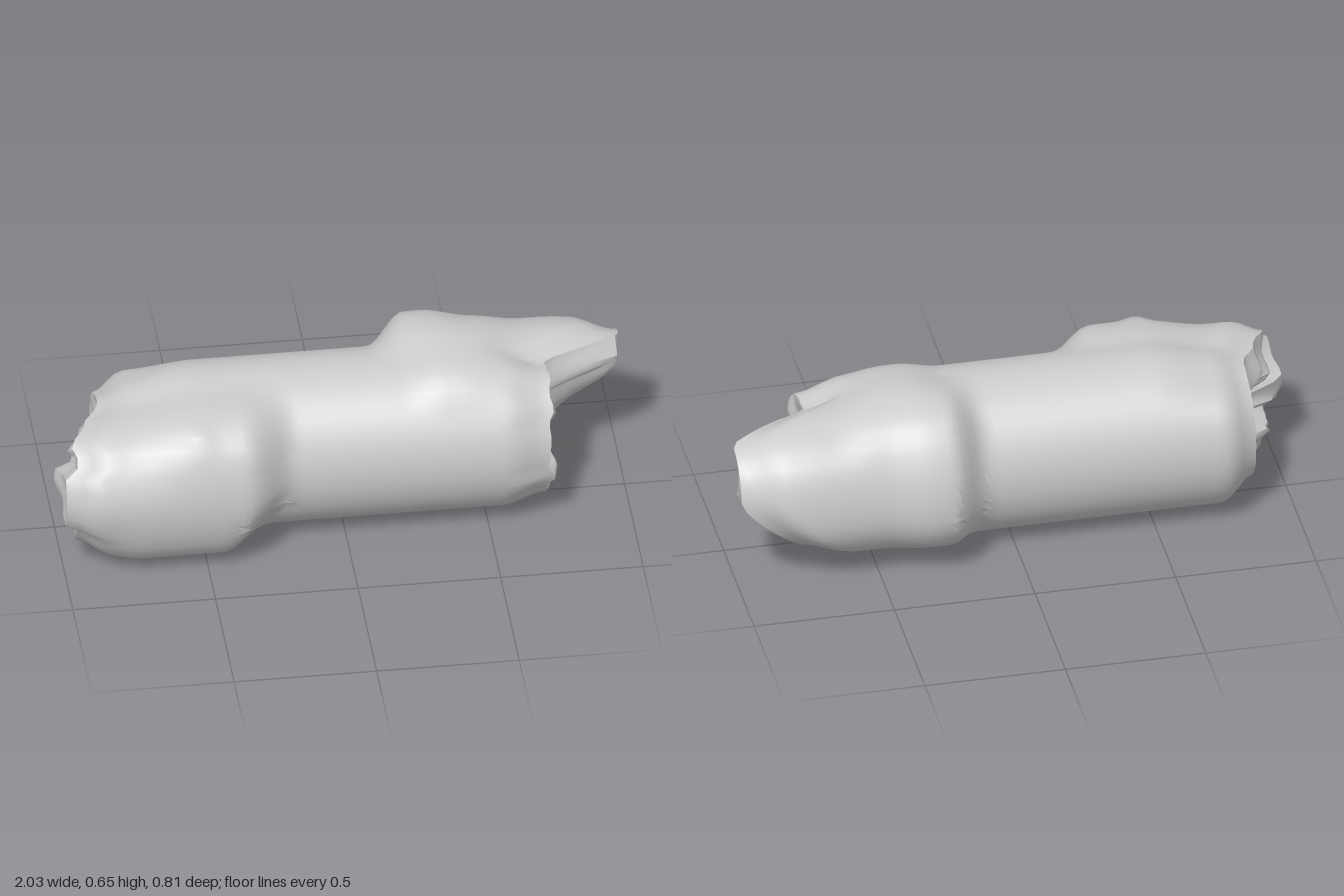
import * as THREE from 'three';
import { toCreasedNormals } from 'three/addons/utils/BufferGeometryUtils.js';

const SIDES = 56;
const CENTRE_Y = 0.312;
const { smoothstep, lerp, degToRad } = THREE.MathUtils;

// Signed angle difference in degrees, -180..180
const diff = (a, b) => ((a - b + 540) % 360 + 360) % 360 - 180;
// 1 inside `inner` degrees, fading to 0 at `outer`; the two sides may differ
const fade = (d, inner, outer, outerBelow = outer) =>
  1 - smoothstep(Math.abs(d), inner, d < 0 ? outerBelow : outer);
// Repeatable roughness, -0.5..0.5, in teeth two sides wide
const rough = (i, seed) => {
  const s = Math.sin(Math.floor((i % SIDES) / 2) * 12.9898 + seed * 78.233) * 43758.5453;
  return s - Math.floor(s) - 0.5;
};

// Angle 0 faces the front (+z), 90 faces up, 180 faces the back.
// Right rim with a long splinter at the upper back
function rightRim(a, i) {
  const splinter = fade(diff(a, 145), 14, 88, 60);
  return Math.min(1, 0.715 + 0.3 * splinter + 0.025 * rough(i, 3) * (1 - splinter));
}

// Ragged left rim, longest at the front
function leftRim(a, i) {
  const front = fade(diff(a, 0), 28, 92, 92);
  return Math.max(-1, -0.85 - 0.13 * front + 0.06 * rough(i, 7) * front);
}

// Bark radius: oval trunk, a front swelling on one half, a back one on the other
function barkRadius(a, x, toLeft, toRight) {
  const t = degToRad(a);
  let r = 1 / Math.hypot(Math.cos(t) / 0.28, Math.sin(t) / 0.3);
  const setBack = 0.08 * fade(diff(a, 315), 5, 45);
  r += 0.12 * fade(diff(a, 0), 28, 77, 92) * (1 - smoothstep(x, -0.37 - setBack, -0.18 - setBack));
  const backSwell = 0.125 - 0.033 * smoothstep(x, 0.32, 0.5);
  r += backSwell * fade(diff(a, 163), 22, 88, 78) * smoothstep(x, 0.11, 0.26);
  // hump on top of the right half, dropping away behind it
  r += 0.025 * fade(diff(a, 82), 12, 45) * smoothstep(x, 0.2, 0.36) * (1 - smoothstep(x, 0.4, 0.62));
  r -= 0.035 * fade(diff(a, 110), 15, 45) * smoothstep(x, 0.48, 0.68);
  // small knot on the upper front
  r += 0.012 * fade(diff(a, 38), 2, 9) * (1 - smoothstep(Math.abs(x + 0.53), 0.01, 0.07));
  // slope of the top and underside towards the left end
  r -= 0.05 * fade(diff(a, 75), 30, 75) * (1 - smoothstep(x, -0.8, -0.5));
  r -= 0.04 * fade(diff(a, 290), 30, 75) * (1 - smoothstep(x, -0.95, -0.72));
  // taper along the splinter
  r -= 0.02 * fade(diff(a, 150), 40, 90) * smoothstep(x, 0.72, 1);
  // rounding at both rims, softest at the back of the left end
  const back = fade(diff(a, 190), 40, 120);
  r *= 1 - 0.13 * (1 - smoothstep(toRight, 0, 0.16));
  r *= 1 - (0.13 + 0.13 * back) * (1 - smoothstep(toLeft, 0, 0.13)) ** 1.5;
  return r;
}

function barkPoint(i, s) {
  const a = (i % SIDES) * 360 / SIDES;
  const x0 = leftRim(a, i), x1 = rightRim(a, i);
  const x = lerp(x0, x1, s);
  const r = barkRadius(a, x, x - x0, x1 - x);
  const t = degToRad(a);
  return [x, r * Math.sin(t), r * Math.cos(t)];
}

// Grid of rings from left to right; point(i, j) gives x and offsets from the axis
function ringMesh(name, rows, point, material, crease) {
  const pos = [], index = [];
  for (let j = 0; j <= rows; j++) {
    for (let i = 0; i <= SIDES; i++) {
      const [x, y, z] = point(i, j);
      pos.push(x, CENTRE_Y + y, z);
    }
  }
  const w = SIDES + 1;
  for (let j = 0; j < rows; j++) {
    for (let i = 0; i < SIDES; i++) {
      const p = j * w + i;
      index.push(p, p + w, p + 1, p + 1, p + w, p + w + 1);
    }
  }
  const geo = new THREE.BufferGeometry();
  geo.setAttribute('position', new THREE.Float32BufferAttribute(pos, 3));
  geo.setIndex(index);
  const mesh = new THREE.Mesh(toCreasedNormals(geo, crease), material);
  mesh.name = name;
  return mesh;
}

// Broken end: a blunt face with a hollow heart; whatever reaches past the face
// rises from it between the radii in `rise`
const CAP_ROWS = 12;
function capPoint(i, f, end, { heart, faceX, rise }) {
  const [x, ry, rz] = barkPoint(i, end);
  const y = lerp(heart.y, ry, f), z = lerp(heart.z, rz, f);
  const face = lerp(heart.x, faceX, smoothstep(f, 0.05, 0.5));
  const lump = 0.025 * Math.sin(24 * y + 1) * Math.sin(27 * z) * f * (1 - f) * 4;
  return [face + (x - faceX) * smoothstep(f, ...rise) + lump, y, z];
}

export function createModel() {
  const group = new THREE.Group();
  group.name = 'brokenLog';
  const material = new THREE.MeshStandardMaterial({ color: 0xcccccc, side: THREE.DoubleSide });
  const left = { heart: new THREE.Vector3(-0.76, -0.01, -0.01), faceX: -0.86, rise: [0.05, 0.5] };
  const right = { heart: new THREE.Vector3(0.61, 0.01, 0.04), faceX: 0.715, rise: [0.3, 0.8] };

  group.add(ringMesh('bark', 64, (i, j) => barkPoint(i, j / 64), material, 0.6));
  group.add(ringMesh('leftBrokenEnd', CAP_ROWS,
    (i, j) => capPoint(i, j / CAP_ROWS, 0, left), material, 0.5));
  group.add(ringMesh('rightBrokenEnd', CAP_ROWS,
    (i, j) => capPoint(i, 1 - j / CAP_ROWS, 1, right), material, 0.5));
  return group;
}
